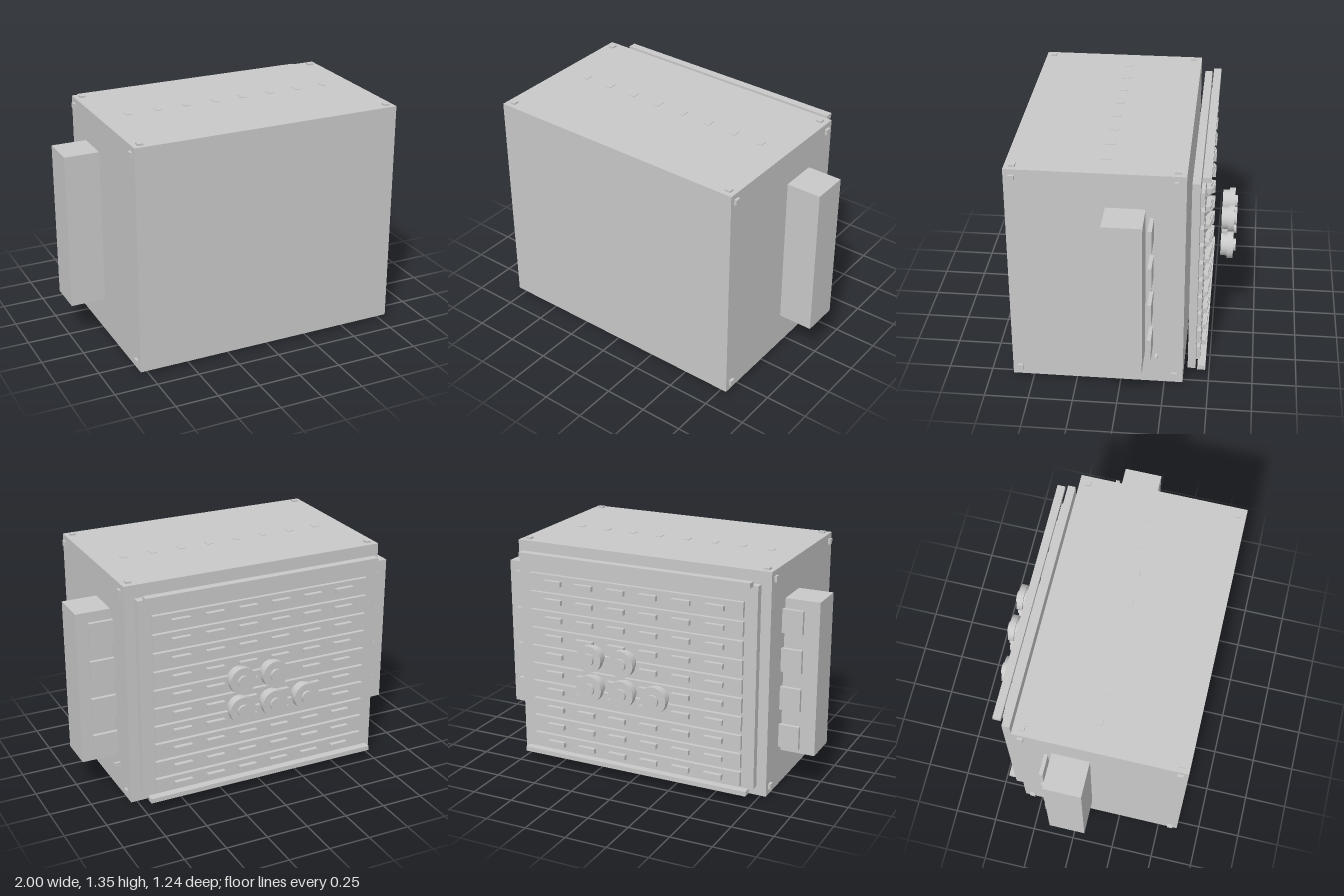
import * as THREE from 'three';

export function createModel() {
  const model = new THREE.Group();
  model.name = 'equipmentCabinet';
  const grey = new THREE.MeshStandardMaterial({ color: 0xc8c8c8 });
  grey.name = 'light grey';

  // Box given by its lower and upper limits on each axis
  function box(name, [x0, x1], [y0, y1], [z0, z1], parent = model) {
    const mesh = new THREE.Mesh(new THREE.BoxGeometry(x1 - x0, y1 - y0, z1 - z0), grey);
    mesh.position.set((x0 + x1) / 2, (y0 + y1) / 2, (z0 + z1) / 2);
    mesh.name = name;
    parent.add(mesh);
    return mesh;
  }
  const around = (c, size) => [c - size / 2, c + size / 2];

  // Main housing
  box('housing', [-0.795, 0.795], [0.015, 1.34], [-0.355, 0.617]);

  // Corner pads on the top, bottom and both sides
  for (const s of [-1, 1]) {
    for (const z of [0.573, -0.305]) {
      box('topPad', around(s * 0.75, 0.033), [1.34, 1.35], around(z, 0.033));
      box('bottomPad', around(s * 0.75, 0.033), [0, 0.015], around(z, 0.033));
      for (const y of [0.063, 1.293]) {
        box('sidePad', around(s * 0.802, 0.015), around(y, 0.033), around(z, 0.033));
      }
    }
  }

  // Thin tabs in a line on the top
  for (let i = 0; i < 8; i++) {
    box('topTab', around(-0.62 + i * 0.177, 0.035), [1.339, 1.343], around(0.085, 0.05));
  }

  // Side boxes with four plates behind each
  for (const s of [-1, 1]) {
    box('sideBox', around(s * 0.897, 0.206), [0.22, 1.137], [-0.14, 0.077]);
    const reach = s > 0 ? 0.94 : 0.917;
    for (let i = 0; i < 4; i++) {
      box('sidePlate', around(s * (0.795 + reach) / 2, reach - 0.795), around(0.327 + i * 0.23, 0.138), [-0.184, -0.162]);
    }
  }
  box('sidePeg', [0.795, 0.832], [0.18, 0.205], [-0.211, -0.196]);

  // Back panel with its two rails
  box('backPanel', [-0.745, 0.745], [0.083, 1.273], [-0.425, -0.38]);
  box('topRail', [-0.72, 0.72], [1.273, 1.302], [-0.48, -0.434]);
  box('bottomRail', [-0.72, 0.72], [0.055, 0.083], [-0.48, -0.434]);

  // Ten slats, each carrying six small handles
  for (let row = 0; row < 10; row++) {
    const y = 0.135 + row * 0.1113;
    box('slat', [-0.67, 0.67], around(y, 0.086), [-0.447, -0.425]);
    for (let i = 0; i < 6; i++) {
      box('slatHandle', around(-0.51 + i * 0.204, 0.11), around(y, 0.03), [-0.475, -0.45]);
    }
  }

  // Round knobs: base, rim and cap
  function knob(x, y) {
    const group = new THREE.Group();
    group.name = 'knob';
    for (const [name, radius, z0, z1] of [
      ['knobBase', 0.065, -0.572, -0.532],
      ['knobRim', 0.079, -0.605, -0.57],
      ['knobCap', 0.036, -0.62, -0.605],
    ]) {
      const mesh = new THREE.Mesh(new THREE.CylinderGeometry(radius, radius, z1 - z0, 32), grey);
      mesh.rotation.x = Math.PI / 2;
      mesh.position.set(x, y, (z0 + z1) / 2);
      mesh.name = name;
      group.add(mesh);
    }
    model.add(group);
  }
  for (const x of [-0.203, 0, 0.203]) knob(x, 0.588);
  for (const x of [0, 0.203]) knob(x, 0.768);

  return model;
}
